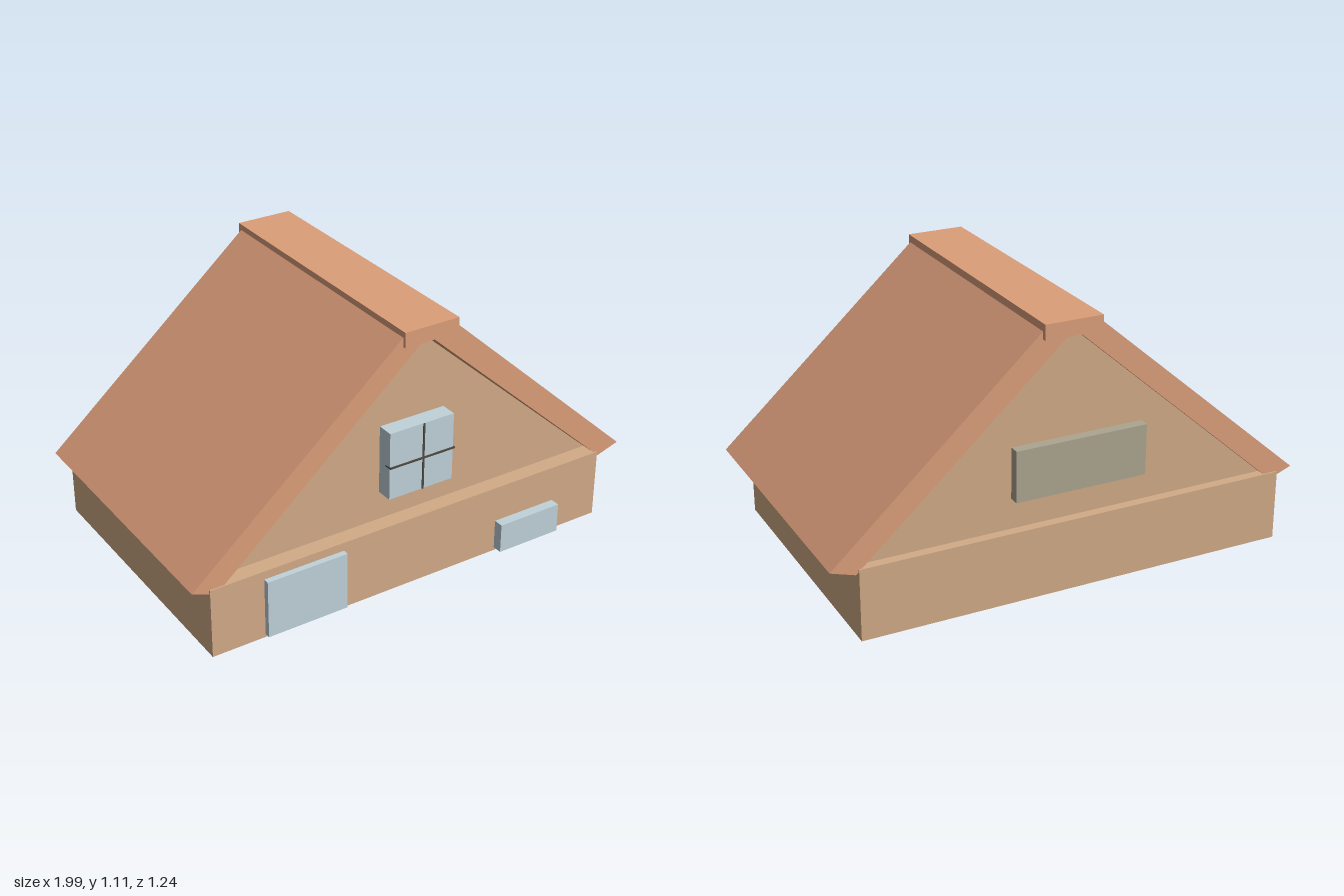
import * as THREE from 'three';

const mat = (color) => new THREE.MeshStandardMaterial({ color, flatShading: true });
const WALL = mat(0xd2ab87), ROOF = mat(0xdc9e7a), GLASS = mat(0xc0d2da);
const BACK_GLASS = mat(0xaca590), BAR = mat(0x4e4a42);

export function createModel() {
  const house = new THREE.Group();
  house.name = 'house';

  const add = (name, geometry, material) => {
    const mesh = new THREE.Mesh(geometry, material);
    mesh.name = name;
    house.add(mesh);
  };
  // Box given by its extents on each axis
  const box = (name, material, [x0, x1], [y0, y1], [z0, z1]) => {
    const g = new THREE.BoxGeometry(x1 - x0, y1 - y0, z1 - z0);
    g.translate((x0 + x1) / 2, (y0 + y1) / 2, (z0 + z1) / 2);
    add(name, g, material);
  };
  // Front outline extruded from z0 to z1
  const prism = (name, material, points, [z0, z1]) => {
    const shape = new THREE.Shape(points.map(([x, y]) => new THREE.Vector2(x, y)));
    const g = new THREE.ExtrudeGeometry(shape, { depth: z1 - z0, bevelEnabled: false });
    g.translate(0, 0, z0);
    add(name, g, material);
  };

  // Walls: low ground floor with the set-back gable above
  box('groundFloor', WALL, [-0.93, 0.88], [0, 0.295], [-0.61, 0.578]);
  prism('gable', WALL, [[-0.88, 0.29], [0.87, 0.29], [0.005, 1.06]], [-0.57, 0.51]);

  // Roof slabs with slanted eaves, and the ridge cap
  const roofDepth = [-0.603, 0.572];
  prism('leftRoofSlope', ROOF, [[0.99, 0.305], [0.14, 1.077], [0.01, 1.065], [0.89, 0.273]], roofDepth);
  prism('rightRoofSlope', ROOF, [[-1, 0.303], [-0.9, 0.266], [0.01, 1.065], [-0.1, 1.083]], roofDepth);
  box('ridgeCap', ROOF, [-0.1, 0.14], [1.046, 1.108], [-0.62, 0.585]);

  // Ground floor door and low window
  box('door', GLASS, [-0.705, -0.357], [0.014, 0.26], [0.56, 0.603]);
  box('lowWindow', GLASS, [0.363, 0.653], [0.014, 0.14], [0.56, 0.62]);

  // Gable window with crossing glazing bars
  box('gableWindow', GLASS, [-0.155, 0.136], [0.417, 0.703], [0.5, 0.579]);
  box('verticalBar', BAR, [-0.006, 0.002], [0.417, 0.703], [0.55, 0.582]);
  box('horizontalBar', BAR, [-0.155, 0.142], [0.551, 0.558], [0.55, 0.584]);

  // Wide window at the back
  box('backWindow', BACK_GLASS, [-0.305, 0.25], [0.42, 0.63], [-0.613, -0.56]);

  return house;
}
